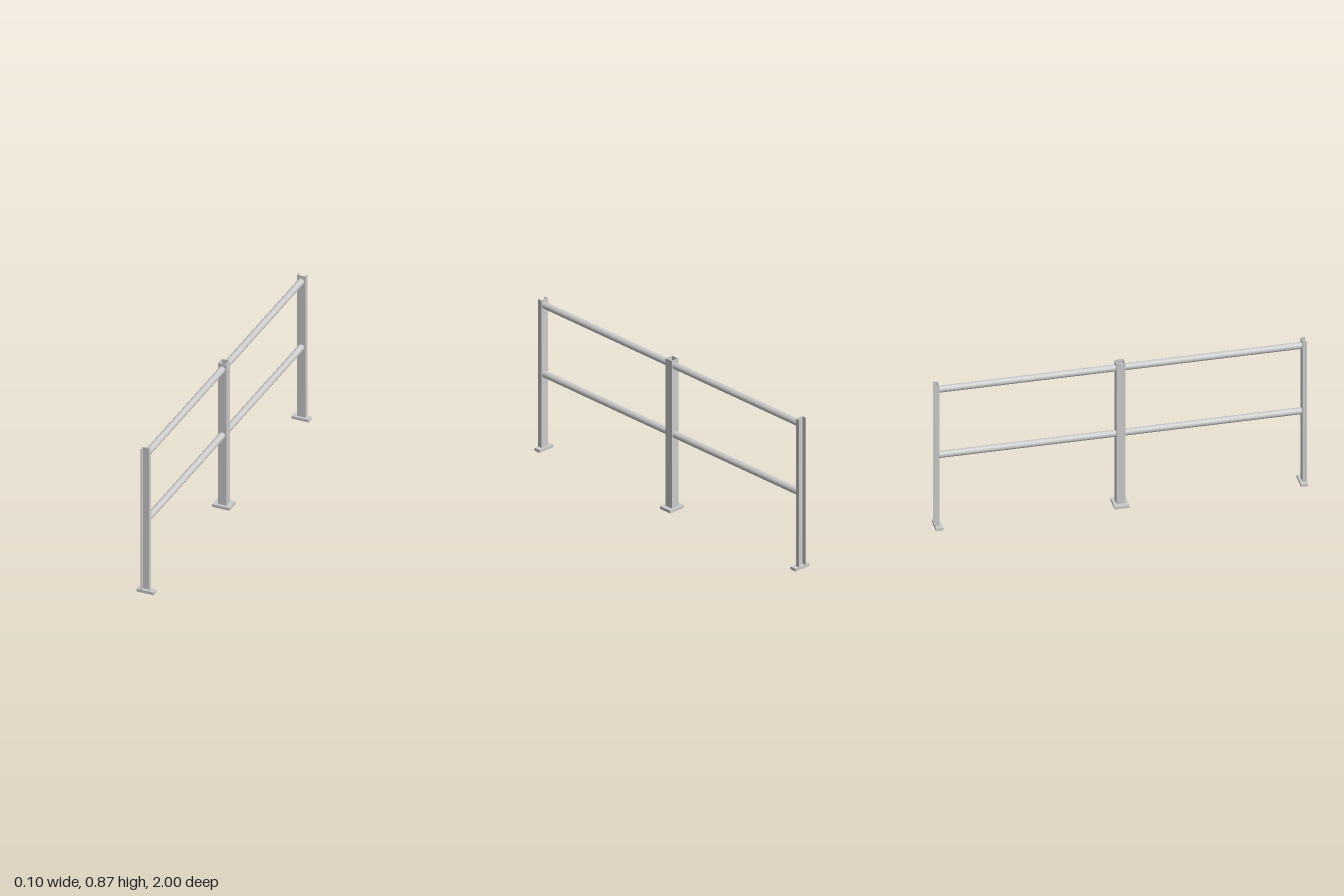
import * as THREE from 'three';

const POST = 0.0245;   // half width of the square post
const WALL = 0.0045;   // wall thickness of the post
const PLATE_H = 0.016;
const TOP = 0.872;

const material = new THREE.MeshStandardMaterial({ color: 0xcccccc });

function part(name, geometry, x = 0, y = 0, z = 0) {
  const mesh = new THREE.Mesh(geometry, material);
  mesh.name = name;
  mesh.position.set(x, y, z);
  return mesh;
}

function outline(points) {
  return points.map(([x, y]) => new THREE.Vector2(x, y));
}

// Extrudes a plan section upwards from the base plate to the post top
function upright(shape) {
  const g = new THREE.ExtrudeGeometry(shape, { depth: TOP - PLATE_H, bevelEnabled: false });
  g.rotateX(-Math.PI / 2);
  g.translate(0, PLATE_H, 0);
  return g;
}

export function createModel() {
  const group = new THREE.Group();
  group.name = 'guardRail';

  // Centre post: open square tube on a base plate
  const i = POST - WALL;
  const tube = new THREE.Shape(outline([[-POST, -POST], [POST, -POST], [POST, POST], [-POST, POST]]));
  tube.holes.push(new THREE.Path(outline([[-i, -i], [-i, i], [i, i], [i, -i]])));
  group.add(part('centrePost', upright(tube)));
  group.add(part('centreBasePlate', new THREE.BoxGeometry(0.1, PLATE_H, 0.08), 0, PLATE_H / 2, 0));

  // End posts: half tubes whose open side faces outwards (section y becomes -z)
  const channel = new THREE.Shape(outline([
    [-POST, 0], [-i, 0], [-i, i], [i, i], [i, 0], [POST, 0], [POST, POST], [-POST, POST],
  ]));

  for (const side of [1, -1]) {
    const end = new THREE.Group();
    end.name = side > 0 ? 'frontHalf' : 'backHalf';
    end.rotation.y = side > 0 ? 0 : Math.PI;
    end.add(part('endPost', upright(channel), 0, 0, 1));
    end.add(part('endBasePlate', new THREE.BoxGeometry(0.1, PLATE_H, 0.038), 0, PLATE_H / 2, 0.981));

    // Round rails between the post faces
    const length = 1 - 2 * POST;
    for (const [name, y] of [['topRail', 0.837], ['middleRail', 0.437]]) {
      const rail = new THREE.CylinderGeometry(0.0185, 0.0185, length, 32);
      rail.rotateX(Math.PI / 2);
      end.add(part(name, rail, 0, y, 0.5));
    }
    group.add(end);
  }
  return group;
}
